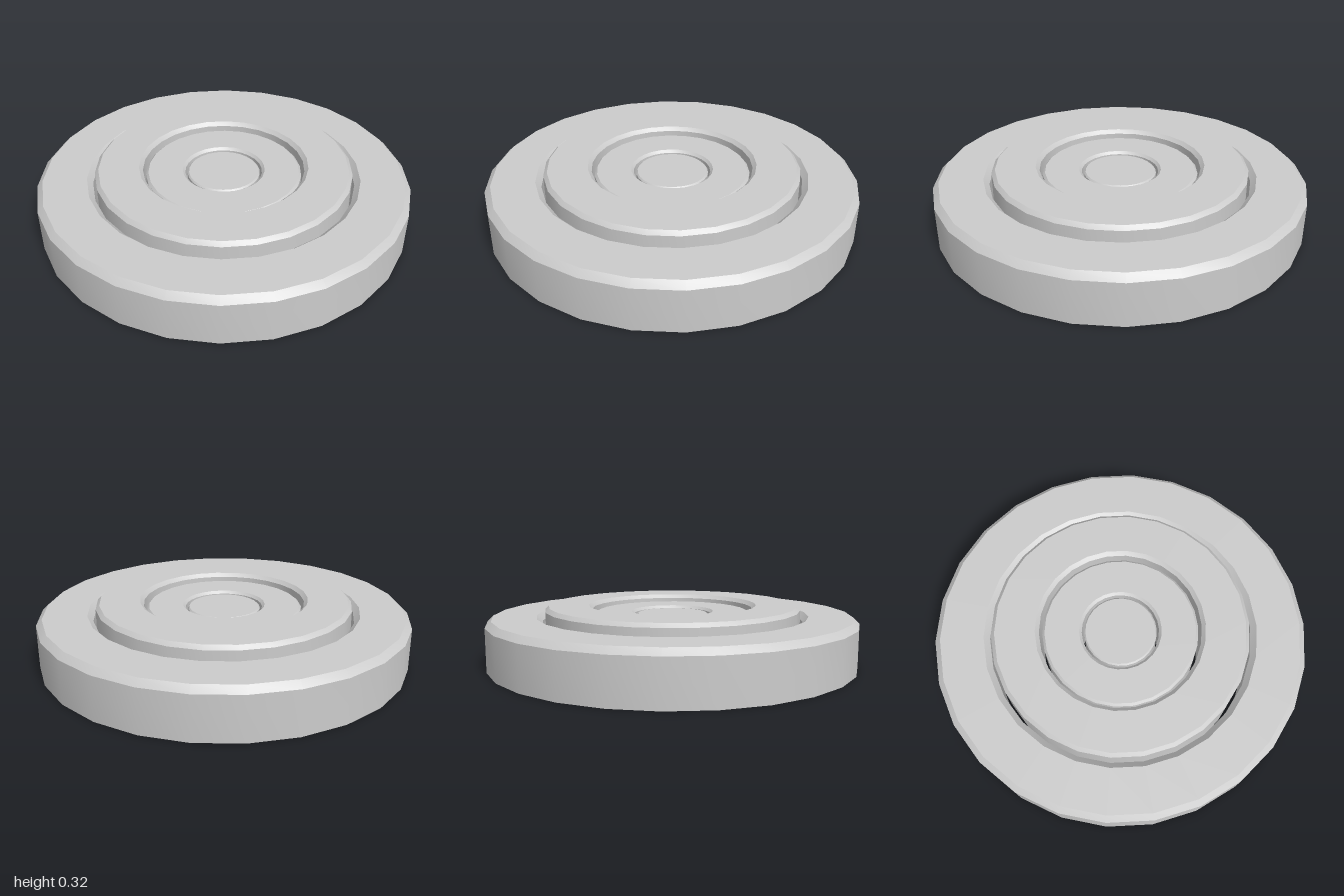
import * as THREE from 'three';
import { toCreasedNormals } from 'three/addons/utils/BufferGeometryUtils.js';

const SIDES = 26;

// Flat-bottomed ring (or disc when inner is 0) with bevelled top edges.
function ring(name, outer, inner, height, outerBevel, innerBevel, material) {
  const points = [
    [outer, 0],
    [outer, height - outerBevel],
    [outer - outerBevel, height],
  ];
  if (inner > 0) {
    points.push([inner + innerBevel, height], [inner, height - innerBevel], [inner, 0], [outer, 0]);
  } else {
    points.push([0, height]);
    points.unshift([0, 0]);
  }
  const profile = points.map(([r, y]) => new THREE.Vector2(r, y));
  const geometry = toCreasedNormals(new THREE.LatheGeometry(profile, SIDES), Math.PI / 6);
  const mesh = new THREE.Mesh(geometry, material);
  mesh.name = name;
  return mesh;
}

export function createModel() {
  const material = new THREE.MeshStandardMaterial({ color: 0xcccccc });
  const model = new THREE.Group();
  model.name = 'concentricRings';

  // Four nested pieces separated by narrow through-gaps
  model.add(
    ring('outerRing', 1, 0.705, 0.263, 0.032, 0.03, material),
    ring('raisedRing', 0.69, 0.435, 0.316, 0.02, 0.02, material),
    ring('innerRing', 0.42, 0.208, 0.279, 0.013, 0.014, material),
    ring('centreDisc', 0.196, 0, 0.267, 0.008, 0, material),
  );
  return model;
}
